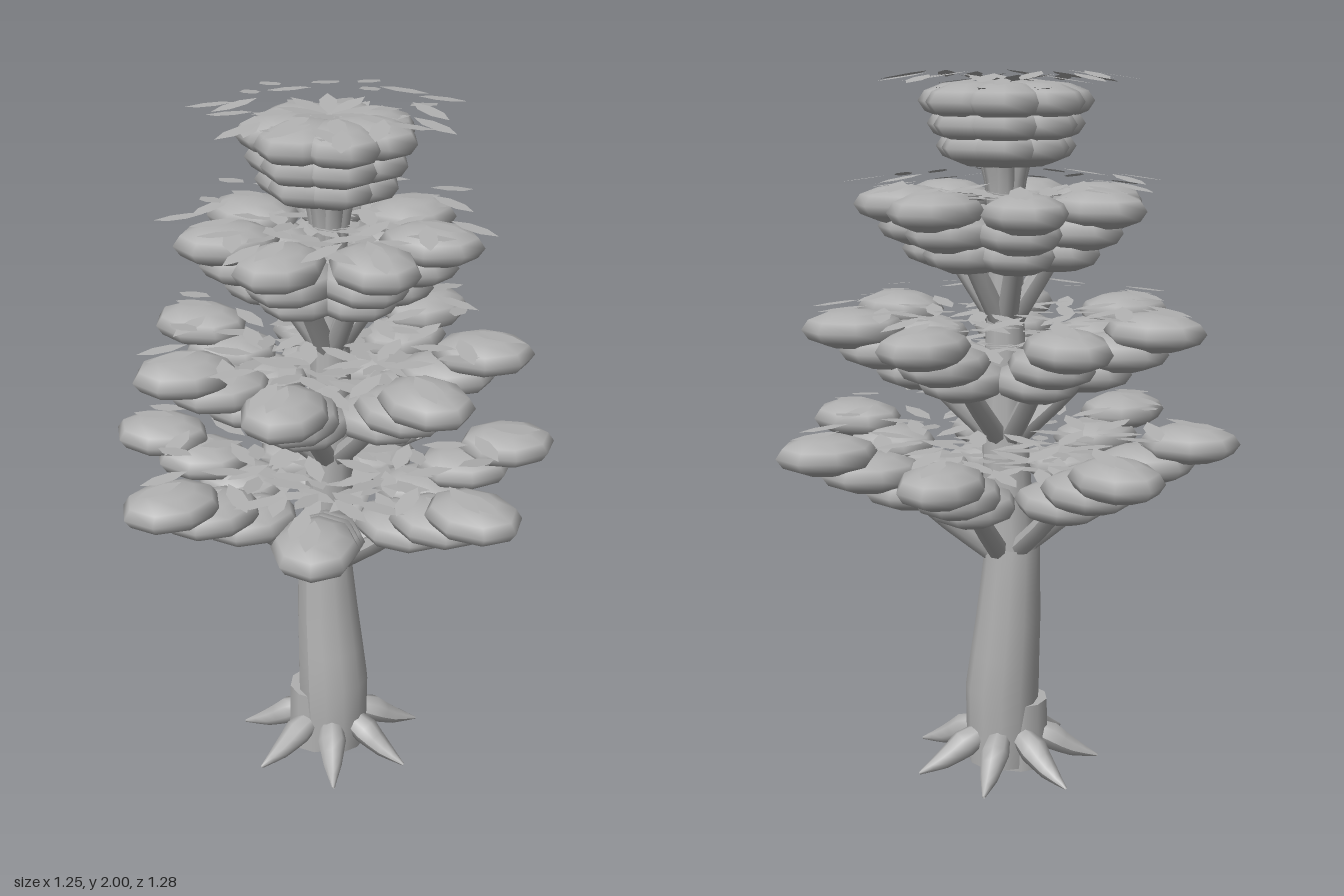
import * as THREE from 'three';

export function createModel() {
  const tree = new THREE.Group();
  tree.name = 'tree';
  const grey = new THREE.MeshStandardMaterial({ color: 0xb0b0b0, side: THREE.DoubleSide });
  grey.name = 'grey';
  const AXIS = -0.03;
  const COUNT = 7;

  function add(parent, geometry, name) {
    const mesh = new THREE.Mesh(geometry, grey);
    mesh.name = name;
    parent.add(mesh);
    return mesh;
  }

  // Round limb through rings given as [x, y, z, radius]
  function limb(rings, sides) {
    const curve = new THREE.CatmullRomCurve3(rings.map(r => new THREE.Vector3(r[0], r[1], r[2])));
    const steps = (rings.length - 1) * 2;
    const geo = new THREE.TubeGeometry(curve, steps, 1, sides, false);
    const pos = geo.attributes.position;
    const p = new THREE.Vector3();
    for (let i = 0; i <= steps; i++) {
      const t = i / steps * (rings.length - 1);
      const k = Math.min(Math.floor(t), rings.length - 2);
      const radius = THREE.MathUtils.lerp(rings[k][3], rings[k + 1][3], t - k);
      const centre = curve.getPointAt(i / steps);
      for (let j = 0; j <= sides; j++) {
        const n = i * (sides + 1) + j;
        p.fromBufferAttribute(pos, n).sub(centre).multiplyScalar(radius).add(centre);
        pos.setXYZ(n, p.x, p.y, p.z);
      }
    }
    geo.computeVertexNormals();
    return geo;
  }

  // Trunk, stump collar and hidden upper stem
  add(tree, limb([[-0.02, 0.01, 0, 0.1], [-0.02, 0.22, 0, 0.107],
    [-0.04, 0.44, 0, 0.093], [-0.055, 0.68, 0, 0.078]], 12), 'trunk');
  const collar = add(tree, new THREE.CylinderGeometry(0.085, 0.09, 0.2, 10), 'stumpCollar');
  collar.position.set(-0.06, 0.1, 0.027);
  add(tree, limb([[-0.05, 0.62, 0, 0.078], [AXIS, 0.98, 0, 0.065],
    [AXIS, 1.4, 0, 0.05], [AXIS, 1.86, 0, 0.03]], 10), 'upperTrunk');

  // Spiked roots
  const rootGeo = limb([[0.06, 0.105, 0, 0.03], [0.12, 0.085, 0, 0.042],
    [0.19, 0.045, 0, 0.027], [0.275, 0.014, 0, 0.004]], 8);
  for (let i = 0; i < COUNT; i++) {
    const root = add(tree, rootGeo, 'root');
    root.position.x = AXIS;
    root.rotation.y = -(i / COUNT * Math.PI * 2 - 0.1);
  }

  // Pointed leaf along +x
  const leafShape = new THREE.Shape([[-0.068, 0], [-0.025, -0.023], [0.025, -0.023],
    [0.068, 0], [0.025, 0.023], [-0.025, 0.023]].map(p => new THREE.Vector2(p[0], p[1])));
  const leafGeo = new THREE.ShapeGeometry(leafShape).rotateX(-Math.PI / 2);
  const padGeo = new THREE.SphereGeometry(1, 8, 6);

  function addLeaf(parent, x, y, z, angle, tilt) {
    const leaf = add(parent, leafGeo, 'leaf');
    leaf.position.set(x, y, z);
    leaf.rotation.set(0, -angle, tilt);
  }

  // Branch tiers: reach to the outer pad, its height, and where branches start
  const tiers = [
    { reach: 0.515, y: 0.983, start: 0.64 },
    { reach: 0.42, y: 1.31, start: 0.98 },
    { reach: 0.275, y: 1.64, start: 1.32 },
    { reach: 0.105, y: 1.915, start: 1.62 },
  ];
  tiers.forEach(({ reach, y, start }, t) => {
    const branchGeo = limb([[0.02, start, 0, 0.03], [reach * 0.3, (start + y - 0.125) / 2, 0, 0.028],
      [reach * 0.55, y - 0.125, 0, 0.024], [reach * 0.95, y - 0.02, 0, 0.012]], 7);
    const ringCentre = reach * 0.5 + 0.12;
    for (let i = 0; i < COUNT; i++) {
      const branch = new THREE.Group();
      branch.name = 'branch';
      branch.position.x = AXIS;
      branch.rotation.y = -(i / COUNT * Math.PI * 2 + t * 0.2);
      tree.add(branch);
      add(branch, branchGeo, 'branchLimb');

      // Flattened foliage pads stepping down toward the trunk, a leaf on each
      [1, 0.76, 0.52].forEach((f, k) => {
        const pad = add(branch, padGeo, 'foliagePad');
        pad.position.set(reach * f, y - 0.06 * k, 0);
        pad.scale.set(0.142, 0.054, 0.115);
        addLeaf(branch, reach * f + 0.03, y - 0.06 * k + 0.053, 0.01, 0.1, -0.12);
      });

      // Loose leaves floating above and beside the pads
      [-1.4, 0.25, 1.3].forEach((a, k) => {
        addLeaf(branch, ringCentre + Math.cos(a) * 0.14, y + 0.06 + 0.005 * k, Math.sin(a) * 0.16, a, -0.15);
      });

      // Inner leaves at two heights, closing the crown around the trunk
      for (let k = 0; k < 5; k++) {
        const a = (k - 2) * 1.2 + 0.4;
        const c = Math.cos(a) * 0.1;
        const s = Math.sin(a) * 0.1;
        addLeaf(branch, reach * 0.45 + c, y + 0.03, s, a, 0.12);
        addLeaf(branch, reach * 0.3 + c, y - 0.05, s, a, -0.12);
      }
    }
  });
  // Topmost leaf rosette
  for (let i = 0; i < 8; i++) {
    const a = i * Math.PI / 4;
    addLeaf(tree, AXIS + Math.cos(a) * 0.07, 1.975, Math.sin(a) * 0.07, a, 0.15);
  }
  return tree;
}
